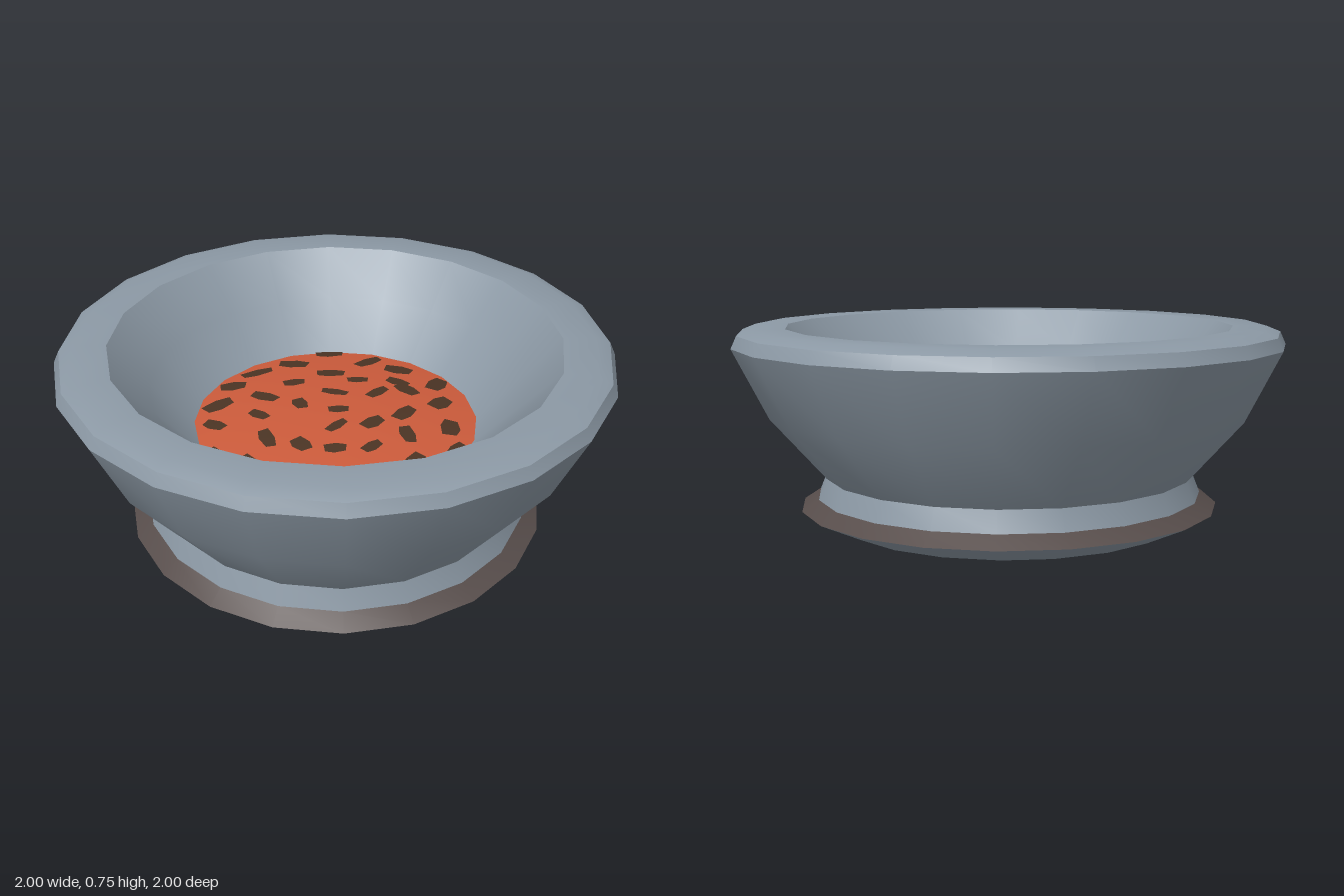
import * as THREE from 'three';
import { mergeVertices, toCreasedNormals } from 'three/addons/utils/BufferGeometryUtils.js';

const SIDES = 20;
const FOOD_R = 0.515;

// Revolve a profile of [x radius, z radius, height] rows into an oval shell
function ovalLathe(rows) {
  const profile = rows.map(([rx, , y]) => new THREE.Vector2(rx, y));
  let geo = new THREE.LatheGeometry(profile, SIDES);
  const pos = geo.attributes.position;
  for (let i = 0; i < pos.count; i++) {
    const [rx, rz] = rows[i % rows.length];
    if (rx > 0) pos.setZ(i, pos.getZ(i) * rz / rx);
  }
  geo.deleteAttribute('normal');
  geo.deleteAttribute('uv');
  geo = mergeVertices(geo, 1e-4);
  return toCreasedNormals(geo, 0.7);
}

// Gently domed surface of the food
const foodHeight = (x, z) => 0.435 + 0.04 * (1 - (x * x + z * z) / (FOOD_R * FOOD_R));

export function createModel() {
  const grey = new THREE.MeshStandardMaterial({ color: 0x8c99a5 });
  grey.name = 'bowl grey';
  const band = new THREE.MeshStandardMaterial({ color: 0x574d4b });
  band.name = 'band brown grey';
  const orange = new THREE.MeshStandardMaterial({ color: 0xcc5b3b });
  orange.name = 'food orange';
  const brown = new THREE.MeshStandardMaterial({ color: 0x4b3424 });
  brown.name = 'chunk brown';

  const model = new THREE.Group();
  model.name = 'bowl';
  const add = (name, geo, mat) => {
    const mesh = new THREE.Mesh(geo, mat);
    mesh.name = name;
    model.add(mesh);
  };

  // Shallow underside of the foot
  add('footUnderside', ovalLathe([
    [0, 0, 0], [0.47, 0.51, 0], [0.61, 0.65, 0.035], [0.76, 0.82, 0.105],
  ]), grey);

  // Dark band around the foot
  add('footBand', ovalLathe([[0.76, 0.82, 0.105], [0.70, 0.755, 0.145]]), band);

  // Neck, flared wall, rounded rim and hollow inside
  add('bowlBody', ovalLathe([
    [0.70, 0.755, 0.145], [0.67, 0.73, 0.22], [0.87, 0.895, 0.44],
    [1.0, 1.0, 0.69], [0.98, 0.98, 0.735], [0.93, 0.93, 0.755],
    [0.81, 0.81, 0.755], [0.67, 0.67, 0.6], [0.51, 0.51, 0.425],
    [0.4, 0.4, 0.36], [0, 0, 0.34],
  ]), grey);

  // Domed food filling
  const rings = [];
  for (let i = 8; i >= 0; i--) {
    const r = FOOD_R * i / 8;
    rings.push([r, r, foodHeight(r, 0)]);
  }
  add('food', ovalLathe(rings), orange);

  // Chunks on the food: x, z, turn in degrees
  const spots = [
    -0.01, -0.49, 0, -0.15, -0.39, 15, 0.14, -0.40, -40,
    -0.29, -0.33, -20, -0.01, -0.29, 5, 0.25, -0.33, 20,
    -0.38, -0.23, 0, -0.15, -0.22, -5, 0.09, -0.23, 0,
    0.24, -0.22, 35, 0.39, -0.22, -60, -0.43, -0.09, -30,
    -0.26, -0.12, 35, 0, -0.13, 20, 0.16, -0.13, -45,
    0.27, -0.16, 50, 0.39, -0.07, -45, -0.13, -0.05, 75,
    -0.44, 0.05, 40, -0.28, 0.01, 45, 0.01, 0, 0,
    0.13, 0.09, -40, 0.25, 0.02, -50, -0.25, 0.17, 75,
    0, 0.11, -45, 0.25, 0.16, 80, 0.41, 0.10, -80,
    -0.13, 0.22, 60, -0.01, 0.25, 0, 0.12, 0.24, -40,
    0.42, 0.24, -55, -0.43, 0.25, 60, -0.31, 0.32, 60,
    0.26, 0.33, -60, -0.15, 0.42, 35, 0, 0.42, 85,
    0.13, 0.40, -65,
  ];
  // Irregular six-sided outline, draped over the dome
  const outline = [[-1, -0.7], [0.1, -1], [1, -0.7], [0.9, 0.6], [-0.1, 1], [-0.9, 0.7]];
  const verts = [];
  for (let i = 0; i < spots.length; i += 3) {
    const [cx, cz] = [spots[i], spots[i + 1]];
    const turn = THREE.MathUtils.degToRad(spots[i + 2]);
    const grow = 0.8 + 0.3 * Math.min(1, Math.hypot(cx, cz) / 0.45);
    const long = (0.05 + 0.008 * Math.sin(i * 2.3)) * grow;
    const wide = (0.03 + 0.005 * Math.cos(i * 1.7)) * grow;
    const point = (u, v) => {
      let x = cx + u * long * Math.cos(turn) - v * wide * Math.sin(turn);
      let z = cz + u * long * Math.sin(turn) + v * wide * Math.cos(turn);
      const k = Math.min(1, (FOOD_R - 0.008) / Math.hypot(x, z));
      x *= k;
      z *= k;
      return [x, foodHeight(x, z) + 0.005, z];
    };
    outline.forEach((p, j) => {
      const next = outline[(j + 1) % outline.length];
      verts.push(...point(0, 0), ...point(...next), ...point(...p));
    });
  }
  const chunks = new THREE.BufferGeometry();
  chunks.setAttribute('position', new THREE.Float32BufferAttribute(verts, 3));
  chunks.computeVertexNormals();
  add('foodChunks', chunks, brown);

  return model;
}
